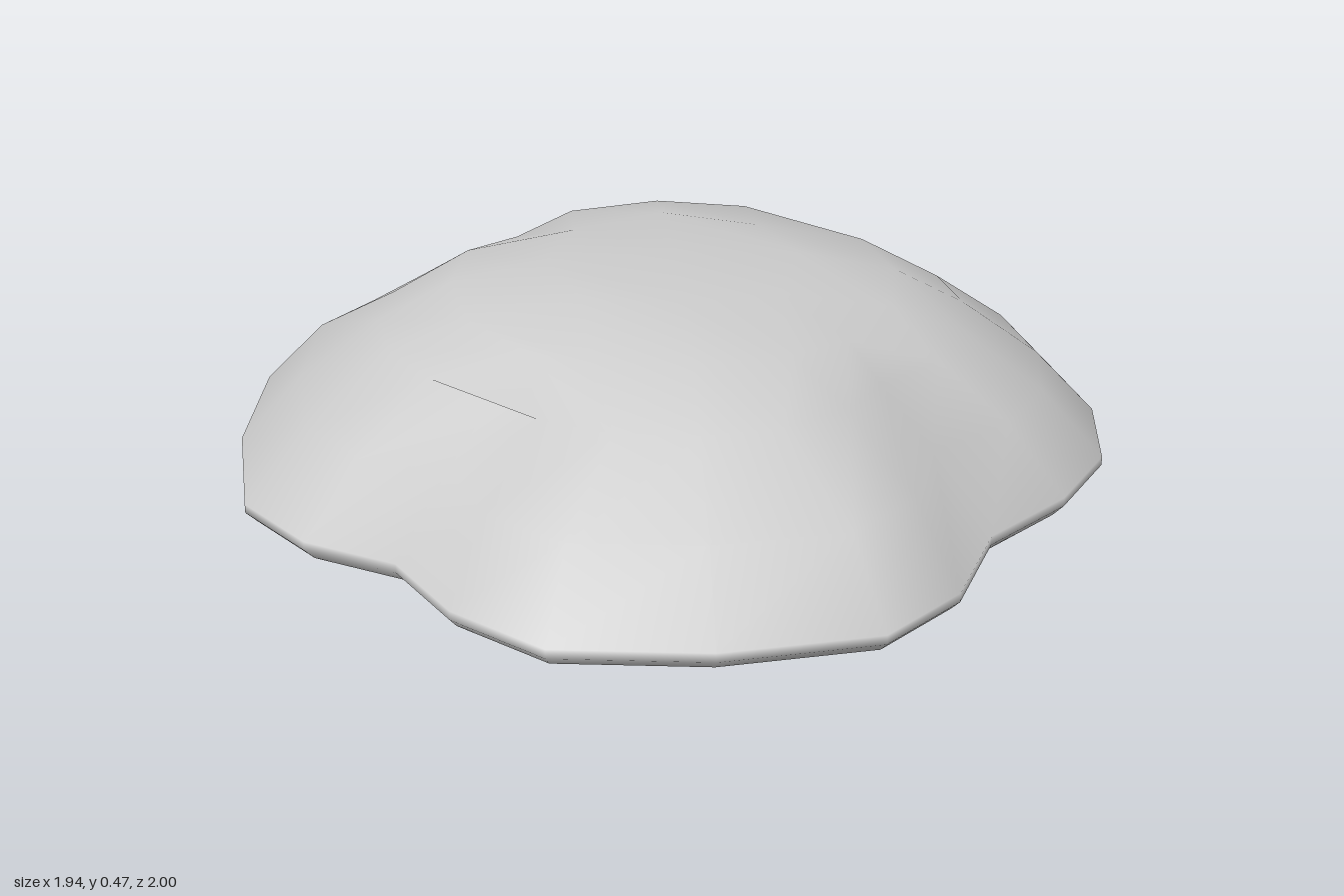
import * as THREE from 'three';

// Lobed footprint, listed as x, z pairs from the back round by the +x side
const OUTLINE = [
  [0, -1], [0.33, -0.97], [0.51, -0.83], [0.61, -0.62], [0.8, -0.46], [0.93, -0.28],
  [0.97, -0.02], [0.93, 0.23], [0.8, 0.42], [0.61, 0.58], [0.5, 0.81], [0.33, 0.96],
  [0, 1], [-0.32, 0.96], [-0.5, 0.8], [-0.61, 0.6], [-0.8, 0.49], [-0.935, 0.31],
  [-0.97, -0.02], [-0.935, -0.36], [-0.8, -0.53], [-0.61, -0.635], [-0.5, -0.83], [-0.33, -0.97],
];
const N = OUTLINE.length;

// Square loops of the crown grid: reach on the axes, pull-in at corners, height, drop at corners
const CROWN = [[0, 0, 0.475, 0], [0.28, 0.25, 0.465, 0.01], [0.49, 0.31, 0.42, 0.025], [0.65, 0.385, 0.335, 0.015]];
const H = CROWN.length - 1;

// Skirt rings below the crown: footprint scale, height, pinch at the four valleys
const SKIRT = [[0.855, 0.2, 0.96], [1, 0.05, 1], [1, 0.03, 1], [0.975, 0.005, 1], [0.93, 0, 1]];

// Point of the crown grid at column i, row j
function crownPoint(i, j) {
  const m = Math.max(Math.abs(i), Math.abs(j));
  const [reach, pull, y, drop] = CROWN[m];
  const alongX = Math.abs(i) >= Math.abs(j);
  const t = m ? (alongX ? j : i) / m : 0;
  const out = reach * (1 - pull * t * t) * Math.sign(alongX ? i : j);
  const side = reach * (1 - pull) * (1.3 * t - 0.3 * t ** 3);
  return [alongX ? out : side, y - drop * t * t, alongX ? side : out];
}

// Smooth closed mound: gridded crown, lobed skirt, soft rim and flat underside
function moundGeometry() {
  const pos = [], idx = [];
  const cell = (i, j) => (i + H) * (2 * H + 1) + j + H;
  for (let i = -H; i <= H; i++) for (let j = -H; j <= H; j++) pos.push(...crownPoint(i, j));
  for (let i = -H; i < H; i++) {
    for (let j = -H; j < H; j++) {
      const a = cell(i, j), c = cell(i + 1, j + 1);
      idx.push(a, cell(i, j + 1), c, a, c, cell(i + 1, j));
    }
  }

  // Border of the crown, in the same order as the footprint
  const border = [];
  for (let k = 0; k < 2 * H; k++) {
    border[k] = cell(k - H, -H);
    border[k + 2 * H] = cell(H, k - H);
    border[k + 4 * H] = cell(H - k, H);
    border[k + 6 * H] = cell(-H, H - k);
  }
  const loops = [border.map((_, k) => border[(k + H) % N])];
  for (const [scale, y, pinch] of SKIRT) {
    loops.push(OUTLINE.map(([x, z], i) => {
      const s = scale * (i % 6 === 3 ? pinch : 1);
      return pos.push(x * s, y, z * s) / 3 - 1;
    }));
  }
  const bottom = pos.push(0, 0, 0) / 3 - 1;
  const last = loops[loops.length - 1];
  for (let i = 0; i < N; i++) {
    const n = (i + 1) % N;
    for (let k = 0; k < loops.length - 1; k++) {
      const top = loops[k], low = loops[k + 1];
      idx.push(top[i], top[n], low[n], top[i], low[n], low[i]);
    }
    idx.push(bottom, last[i], last[n]);
  }

  const g = new THREE.BufferGeometry();
  g.setAttribute('position', new THREE.Float32BufferAttribute(pos, 3));
  g.setIndex(idx);
  g.computeVertexNormals();
  return g;
}

export function createModel() {
  const group = new THREE.Group();
  group.name = 'lobedMound';
  const mound = new THREE.Mesh(moundGeometry(), new THREE.MeshStandardMaterial({ color: 0xcccccc }));
  mound.name = 'mound';
  group.add(mound);
  return group;
}
